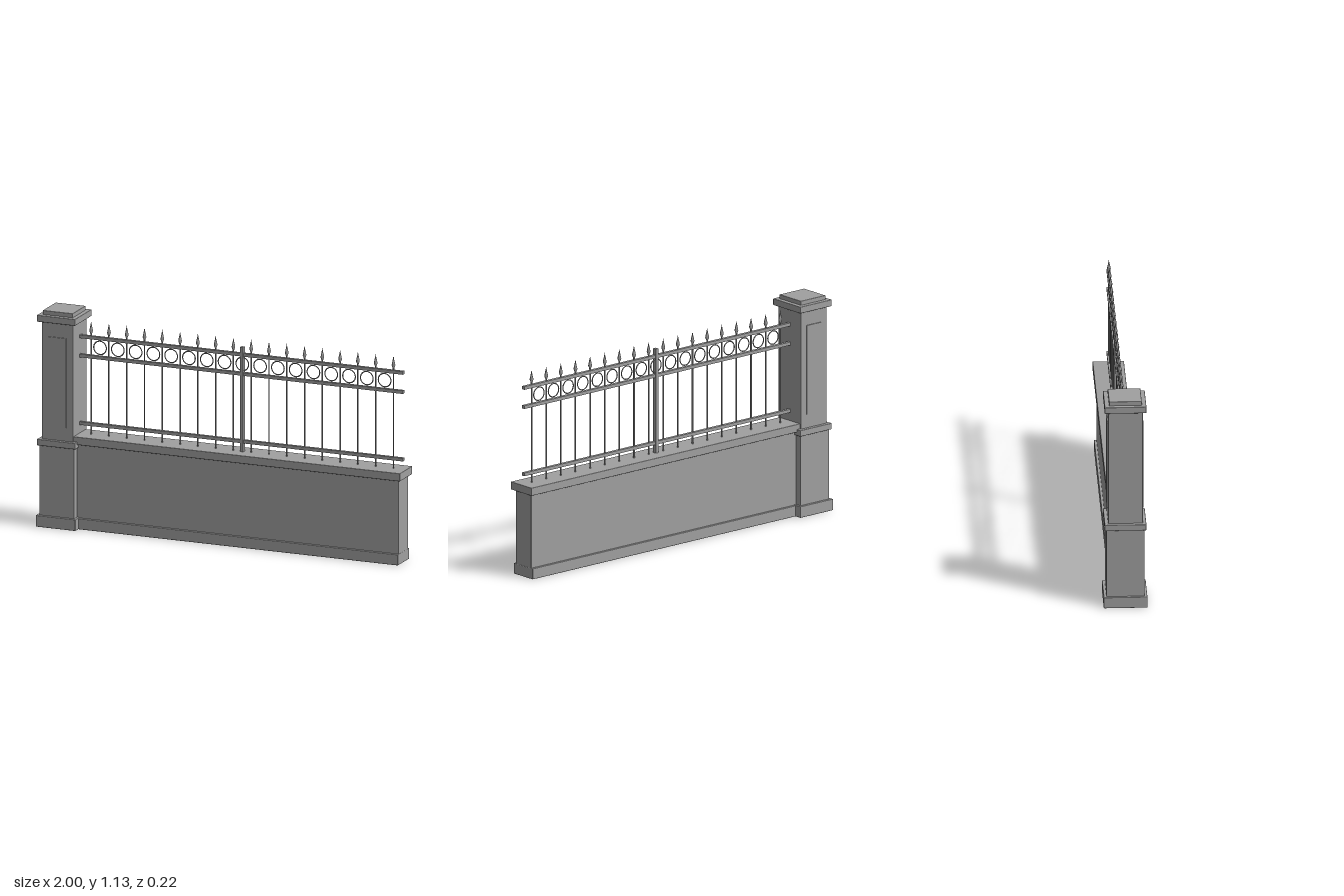
import * as THREE from 'three';
import { RoundedBoxGeometry } from 'three/addons/geometries/RoundedBoxGeometry.js';

export function createModel() {
  const fence = new THREE.Group();
  fence.name = 'fenceSection';
  const grey = new THREE.MeshStandardMaterial({ color: 0xa0a0a0 });
  grey.name = 'grey';

  const add = (parent, name, geometry, x = 0, y = 0, z = 0) => {
    const mesh = new THREE.Mesh(geometry, grey);
    mesh.name = name;
    mesh.position.set(x, y, z);
    parent.add(mesh);
    return mesh;
  };
  const group = (name) => {
    const g = new THREE.Group();
    g.name = name;
    fence.add(g);
    return g;
  };
  // Softly bevelled stone block given by its x and y ranges and half depth
  const block = (parent, name, x0, x1, y0, y1, halfZ, bevel = 0.003) =>
    add(parent, name, new RoundedBoxGeometry(x1 - x0, y1 - y0, halfZ * 2, 1, bevel),
      (x0 + x1) / 2, (y0 + y1) / 2);

  // Pillar
  const pillar = group('pillar');
  block(pillar, 'pillarPlinth', -1, -0.78, 0, 0.06, 0.111);
  block(pillar, 'pillarLowerShaft', -0.987, -0.793, 0.05, 0.43, 0.097);
  block(pillar, 'pillarBand', -0.996, -0.784, 0.427, 0.46, 0.106);
  block(pillar, 'pillarUpperShaft', -0.977, -0.803, 0.45, 1.08, 0.088);
  block(pillar, 'pillarCap', -0.996, -0.784, 1.077, 1.112, 0.106);
  block(pillar, 'pillarCapTop', -0.973, -0.807, 1.105, 1.134, 0.083);
  // Raised panels on the front and back of the pillar
  for (const side of [1, -1]) {
    add(pillar, side > 0 ? 'frontPanel' : 'backPanel',
      new THREE.BoxGeometry(0.1, 0.47, 0.01), -0.89, 0.766, side * 0.088);
  }

  // Low wall
  const wall = group('wall');
  block(wall, 'wallPlinth', -0.8, 0.986, 0, 0.057, 0.073);
  block(wall, 'wallBody', -0.8, 0.985, 0.03, 0.45, 0.06);
  block(wall, 'wallCoping', -0.81, 1, 0.445, 0.487, 0.08);

  // Railing
  const railing = group('railing');
  for (const y of [0.54, 0.895, 0.996]) {
    add(railing, 'rail', new THREE.BoxGeometry(1.788, 0.017, 0.018), 0.092, y);
  }
  add(railing, 'middlePost', new THREE.BoxGeometry(0.018, 0.555, 0.02), 0.095, 0.759);

  const count = 18, firstX = -0.741, step = 0.0983;
  const bar = new THREE.CylinderGeometry(0.004, 0.004, 0.54, 8);
  const spear = new THREE.LatheGeometry(
    [[0.004, 0], [0.0045, 0.012], [0.01, 0.027], [0.007, 0.042], [0.003, 0.06], [0, 0.077]]
      .map(([r, y]) => new THREE.Vector2(r, y)), 8);
  const ring = new THREE.TorusGeometry(0.035, 0.003, 6, 32);
  for (let i = 0; i < count; i++) {
    const x = firstX + i * step;
    add(railing, 'picket', bar, x, 0.75);
    add(railing, 'spearhead', spear, x, 1.003);
    if (i < count - 1) add(railing, 'ring', ring, x + step / 2, 0.946);
  }
  return fence;
}
